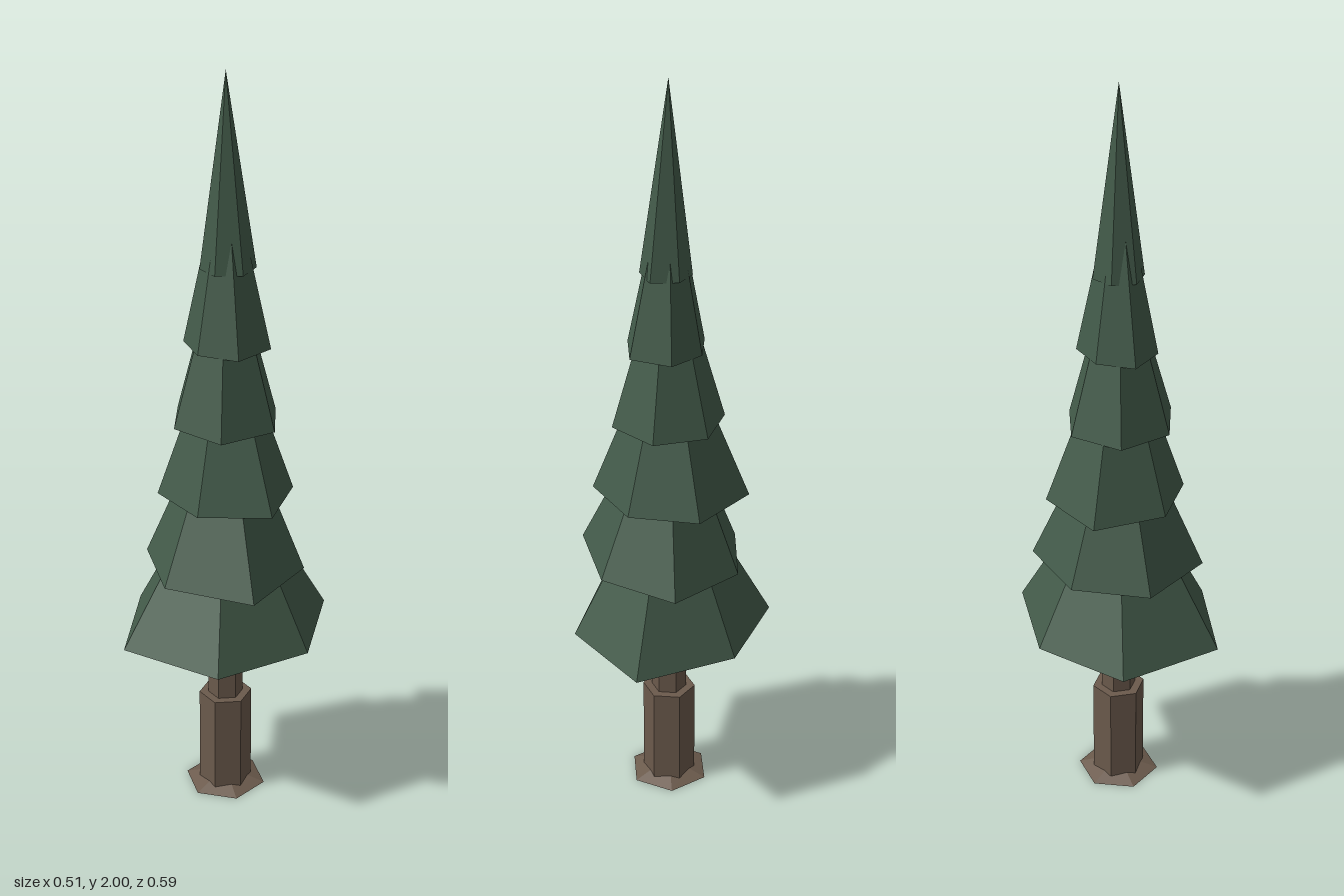
import * as THREE from 'three';

const SIDES = 6;
const AXIS_X = 0.01;

// Open six-sided cone whose rim corners each have their own radius
function tierGeometry(height, radii, startDeg) {
  const rim = radii.map((r, i) => {
    const a = THREE.MathUtils.degToRad(startDeg + i * 360 / SIDES);
    return [r * Math.cos(a), 0, r * Math.sin(a)];
  });
  const pos = [];
  for (let i = 0; i < SIDES; i++) {
    pos.push(0, height, 0, ...rim[(i + 1) % SIDES], ...rim[i]);
  }
  const g = new THREE.BufferGeometry();
  g.setAttribute('position', new THREE.Float32BufferAttribute(pos, 3));
  g.computeVertexNormals();
  return g;
}

export function createModel() {
  const tree = new THREE.Group();
  tree.name = 'pineTree';

  const bark = new THREE.MeshStandardMaterial({ color: 0x6b5a4c, flatShading: true });
  const needles = new THREE.MeshStandardMaterial({
    color: 0x435b4a, flatShading: true, side: THREE.DoubleSide,
  });

  // Trunk sections: name, top radius, bottom radius, bottom y, top y, turn in degrees
  const sections = [
    ['rootFlare', 0.06, 0.11, 0, 0.016, 10],
    ['lowerTrunk', 0.071, 0.071, 0.005, 0.285, 30],
    ['upperTrunk', 0.047, 0.047, 0.28, 1.0, 30],
  ];
  for (const [name, rTop, rBottom, y0, y1, turn] of sections) {
    const geo = new THREE.CylinderGeometry(
      rTop, rBottom, y1 - y0, SIDES, 1, false, THREE.MathUtils.degToRad(turn));
    const mesh = new THREE.Mesh(geo, bark);
    mesh.name = name;
    mesh.position.set(AXIS_X, (y0 + y1) / 2, 0);
    tree.add(mesh);
  }

  // Foliage tiers, bottom to top, each turned 20 degrees from the one below
  const tierRadii = [
    [0.276, 0.297, 0.283, 0.249, 0.302, 0.26],
    [0.26, 0.225, 0.216, 0.202, 0.232, 0.212],
    [0.2, 0.175, 0.177, 0.21, 0.193, 0.177],
    [0.149, 0.161, 0.145, 0.149, 0.142, 0.144],
    [0.117, 0.116, 0.1, 0.11, 0.093, 0.108],
    [0.077, 0.073, 0.066, 0.065, 0.06, 0.066],
  ];
  tierRadii.forEach((radii, i) => {
    const y = 0.491 + i * 0.203;
    const height = i === tierRadii.length - 1 ? 2 - y : 0.515;
    const mesh = new THREE.Mesh(tierGeometry(height, radii, 40 - 20 * i), needles);
    mesh.name = `foliageTier${i + 1}`;
    mesh.position.set(AXIS_X, y, 0);
    tree.add(mesh);
  });

  return tree;
}
